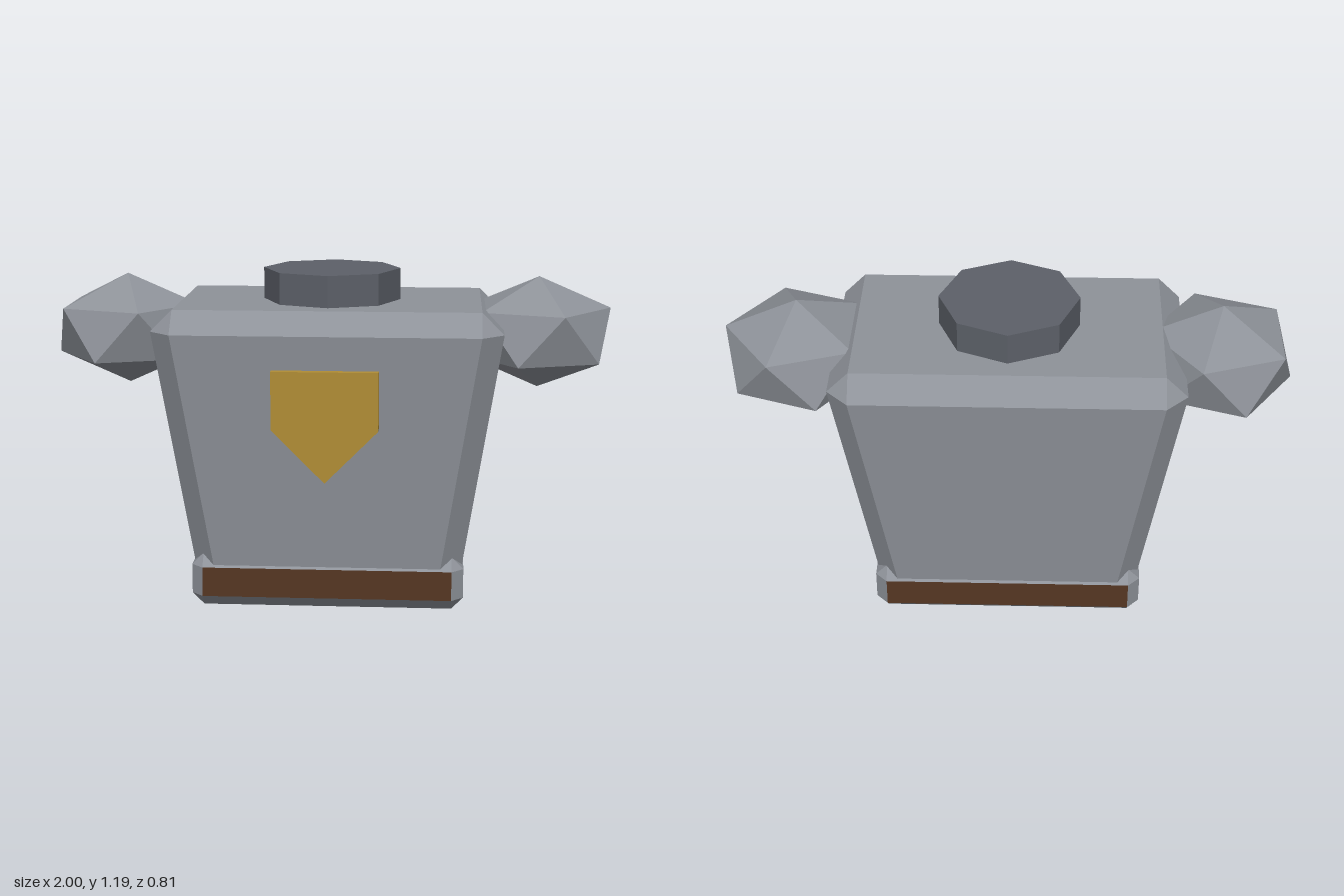
import * as THREE from 'three';
import { ConvexGeometry } from 'three/addons/geometries/ConvexGeometry.js';

const paint = (color) => new THREE.MeshStandardMaterial({ color, flatShading: true });
const steel = paint(0x8e9299);
const darkSteel = paint(0x5c6068);
const leather = paint(0x553622);
const gold = paint(0xb08d35);
const MID_Z = -0.008;

// Box with chamfer c on every edge, tapering from the bottom half sizes to the top ones
function chamferedBox(y0, y1, bottom, top, c) {
  const points = [];
  for (const [y, inward, [hx, hz]] of [[y0, c, bottom], [y1, -c, top]]) {
    for (const sx of [-1, 1]) for (const sz of [-1, 1]) {
      points.push(
        new THREE.Vector3(sx * (hx - c), y, sz * (hz - c)),
        new THREE.Vector3(sx * hx, y + inward, sz * (hz - c)),
        new THREE.Vector3(sx * (hx - c), y + inward, sz * hz));
    }
  }
  return new ConvexGeometry(points);
}

// Keeps either the axis-aligned faces or the slanted chamfer faces
function pickFaces(geometry, wantFlat) {
  const p = geometry.attributes.position, n = geometry.attributes.normal;
  const kept = [];
  for (let i = 0; i < p.count; i += 3) {
    const flat = Math.max(Math.abs(n.getX(i)), Math.abs(n.getY(i)), Math.abs(n.getZ(i))) > 0.99;
    if (flat !== wantFlat) continue;
    for (let k = i; k < i + 3; k++) kept.push(p.getX(k), p.getY(k), p.getZ(k));
  }
  const out = new THREE.BufferGeometry();
  out.setAttribute('position', new THREE.Float32BufferAttribute(kept, 3));
  out.computeVertexNormals();
  return out;
}

// Twenty-sided ball standing on a vertex, stretched along each axis
function facetedBall(rx, ry, rz) {
  const points = [new THREE.Vector3(0, ry, 0), new THREE.Vector3(0, -ry, 0)];
  for (let i = 0; i < 5; i++) {
    const a = (i * Math.PI * 2) / 5;
    const x = rx * Math.cos(a), z = rz * Math.sin(a);
    points.push(new THREE.Vector3(x, ry * 0.447, z), new THREE.Vector3(-x, -ry * 0.447, z));
  }
  return new ConvexGeometry(points);
}

export function createModel() {
  const model = new THREE.Group();
  model.name = 'chestArmor';
  const add = (name, geometry, material, x = 0, y = 0, z = MID_Z) => {
    const mesh = new THREE.Mesh(geometry, material);
    mesh.name = name;
    mesh.position.set(x, y, z);
    model.add(mesh);
    return mesh;
  };

  // Tapered chest shell
  add('chest', chamferedBox(0.045, 1.073, [0.475, 0.307], [0.612, 0.395], 0.077), steel);

  // Belt: leather faces with steel edges
  const belt = chamferedBox(0, 0.19, [0.485, 0.318], [0.485, 0.318], 0.042);
  add('beltLeather', pickFaces(belt, true), leather);
  add('beltTrim', pickFaces(belt, false), steel);

  // Octagonal collar
  add('collar', new THREE.CylinderGeometry(0.246, 0.246, 0.18, 8), darkSteel, 0, 1.095);

  // Shoulder guards
  for (const [name, side] of [['leftShoulder', 1], ['rightShoulder', -1]]) {
    add(name, facetedBall(0.256, 0.2, 0.271), steel, side * 0.742, 0.96);
  }

  // Pointed chest badge
  const outline = new THREE.Shape([[-0.185, 0.877], [-0.185, 0.673], [0, 0.487], [0.185, 0.673], [0.185, 0.877]]
    .map(([x, y]) => new THREE.Vector2(x, y)));
  add('badge', new THREE.ExtrudeGeometry(outline, { depth: 0.06, bevelEnabled: false }), gold, 0, 0, 0.344);

  return model;
}
